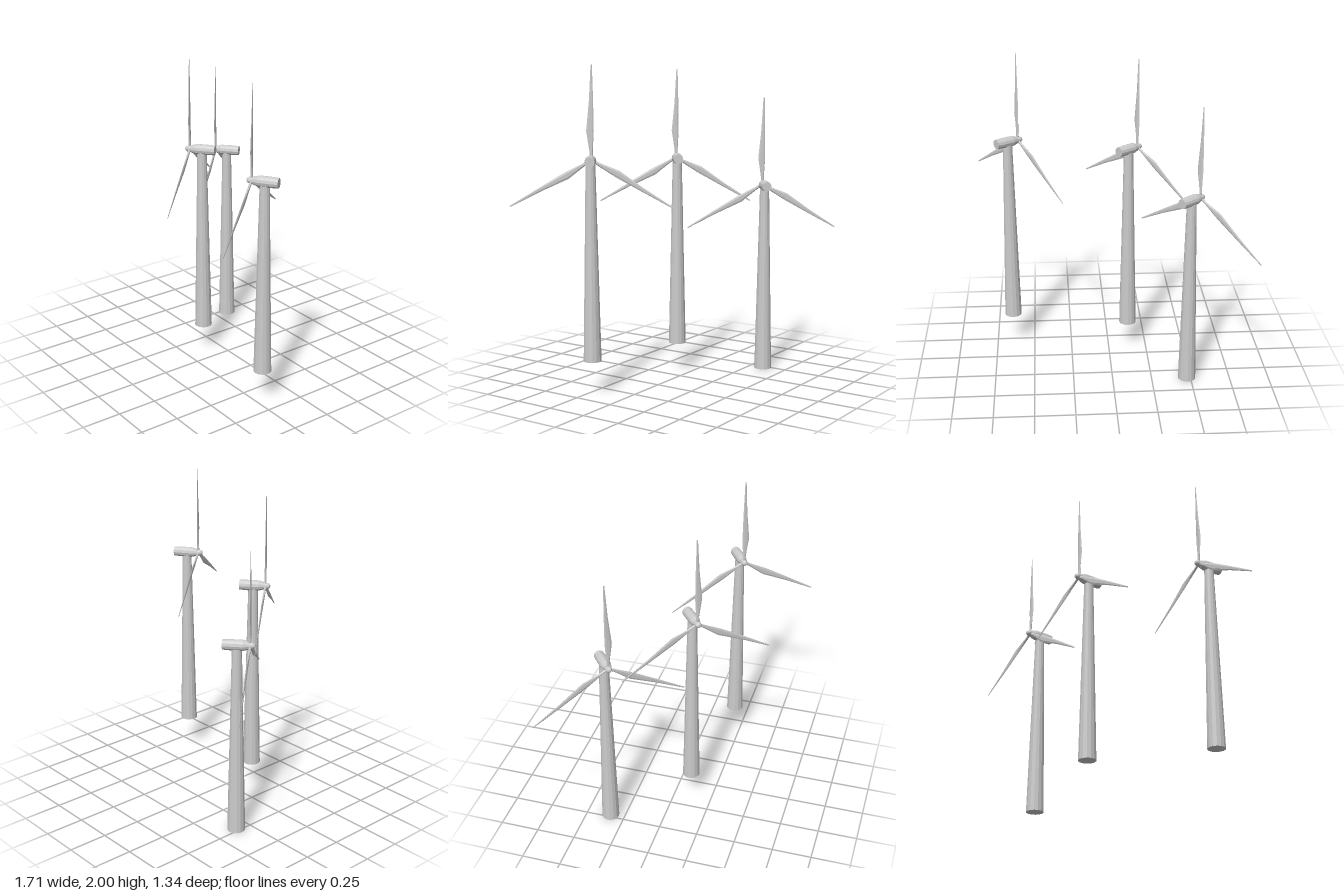
import * as THREE from 'three';

const material = new THREE.MeshStandardMaterial({ color: 0xcccccc, flatShading: true });

function mesh(name, geometry) {
  const m = new THREE.Mesh(geometry, material);
  m.name = name;
  return m;
}

// Blade pointing up +y: six-sided sections [y, trailing x, leading x, thickness]
function bladeGeometry() {
  const sections = [
    [0.0, -0.009, 0.009, 0.016],
    [0.05, -0.009, 0.011, 0.014],
    [0.175, -0.015, 0.031, 0.01],
    [0.36, -0.011, 0.014, 0.007],
    [0.57, -0.004, 0.004, 0.003],
  ];
  const sides = 6, pos = [], index = [];
  for (const [y, x0, x1, t] of sections) {
    for (let i = 0; i < sides; i++) {
      const a = (i / sides) * Math.PI * 2;
      pos.push((x0 + x1) / 2 + Math.cos(a) * (x1 - x0) / 2, y, -Math.sin(a) * t / 2);
    }
  }
  for (let j = 0; j < sections.length - 1; j++) {
    for (let i = 0; i < sides; i++) {
      const a = j * sides + i, b = j * sides + (i + 1) % sides;
      index.push(a, b, b + sides, a, b + sides, a + sides);
    }
  }
  const top = (sections.length - 1) * sides;
  for (let i = 1; i < sides - 1; i++) {
    index.push(top, top + i, top + i + 1, 0, i + 1, i);
  }
  const g = new THREE.BufferGeometry();
  g.setAttribute('position', new THREE.Float32BufferAttribute(pos, 3));
  g.setIndex(index);
  g.computeVertexNormals();
  return g;
}

// Turned body along +z from [z, radius] pairs
function turned(profile, sides) {
  const g = new THREE.LatheGeometry(profile.map(([z, r]) => new THREE.Vector2(r, z)), sides);
  return g.rotateX(Math.PI / 2);
}

const AXIS = 1.22;
const towerGeo = new THREE.CylinderGeometry(0.03, 0.056, 1.2, 14).translate(0, 0.6, 0);
const nacelleGeo = turned([[-0.085, 0], [-0.085, 0.031], [-0.03, 0.0335], [0.035, 0.033],
  [0.068, 0.024], [0.068, 0]], 12);
const spinnerGeo = turned([[0.066, 0], [0.066, 0.022], [0.094, 0.019], [0.106, 0.012], [0.109, 0]], 12);
const bladeGeo = bladeGeometry();

function turbine(x, y, z, heading) {
  const g = new THREE.Group();
  g.name = 'turbine';
  g.position.set(x, y, z);
  g.add(mesh('tower', towerGeo));

  // Head turned into the wind
  const head = new THREE.Group();
  head.name = 'head';
  head.position.y = AXIS;
  head.rotation.y = heading;
  head.add(mesh('nacelle', nacelleGeo), mesh('spinner', spinnerGeo));

  // Three blades around the hub
  const rotor = new THREE.Group();
  rotor.name = 'rotor';
  rotor.position.z = 0.078;
  rotor.rotation.z = 0.01;
  for (let i = 0; i < 3; i++) {
    const blade = mesh('blade', bladeGeo);
    blade.rotation.z = (i * Math.PI * 2) / 3;
    rotor.add(blade);
  }
  head.add(rotor);
  g.add(head);
  return g;
}

export function createModel() {
  const model = new THREE.Group();
  model.name = 'windTurbines';
  model.add(
    turbine(-0.476, 0, -0.344, -0.868),
    turbine(-0.127, 0.182, 0.108, -0.887),
    turbine(0.639, 0.211, 0.214, -0.97),
  );
  return model;
}
